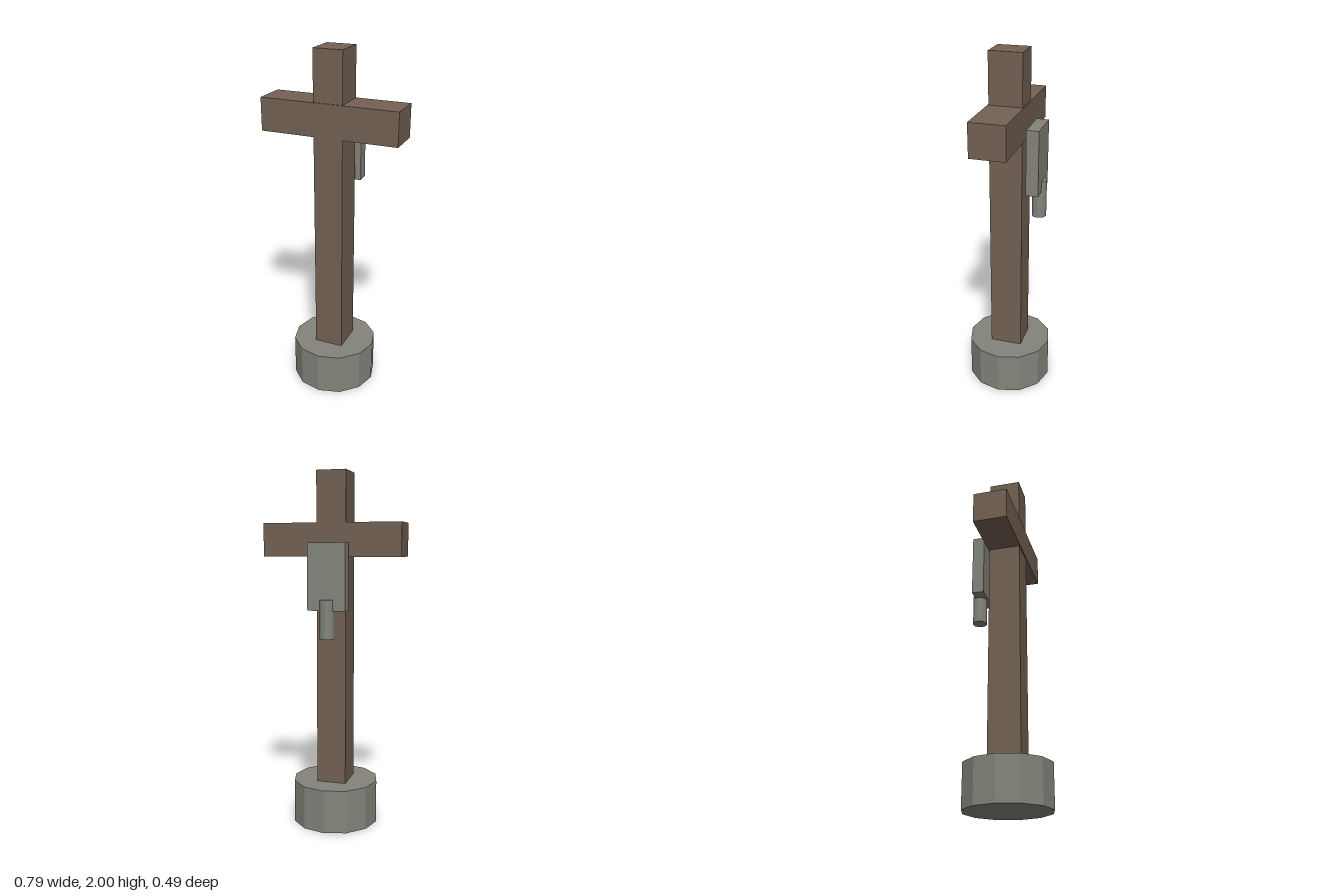
import * as THREE from 'three';

export function createModel() {
  const model = new THREE.Group();
  const wood = new THREE.MeshStandardMaterial({ name: 'brown wood', color: 0x736153, flatShading: true });
  const stone = new THREE.MeshStandardMaterial({ name: 'grey stone', color: 0x83847b, flatShading: true });

  const add = (name, geometry, material, y, z = 0) => {
    const mesh = new THREE.Mesh(geometry, material);
    mesh.name = name;
    mesh.position.set(0, y, z);
    model.add(mesh);
  };

  // Twelve-sided foot
  add('base', new THREE.CylinderGeometry(0.245, 0.245, 0.245, 12), stone, 0.1225);

  // Wooden cross, with the beam slightly thicker than the post
  add('post', new THREE.BoxGeometry(0.167, 1.8, 0.184), wood, 1.1);
  add('crossbeam', new THREE.BoxGeometry(0.786, 0.186, 0.196), wood, 1.626);

  // Plate standing just behind the post, with a short round peg hanging below
  add('backPlate', new THREE.BoxGeometry(0.214, 0.368, 0.069), stone, 1.426, -0.154);
  add('peg', new THREE.CylinderGeometry(0.041, 0.041, 0.214, 12), stone, 1.195, -0.17);

  return model;
}
